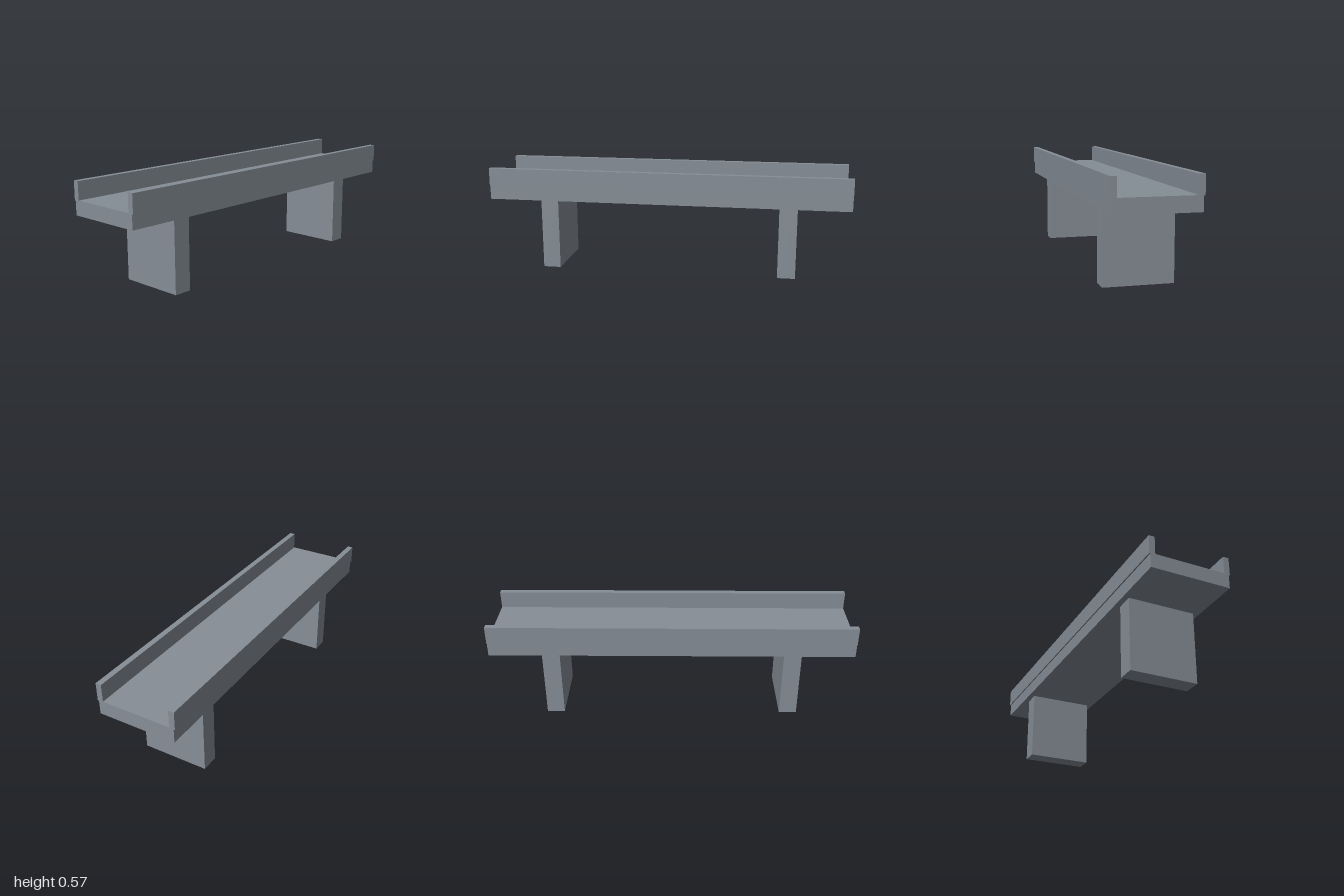
import * as THREE from 'three';

export function createModel() {
  const model = new THREE.Group();
  model.name = 'beamBridge';
  const concrete = new THREE.MeshStandardMaterial({ color: 0x868e96 });
  concrete.name = 'concrete grey';

  // Box given by its size, base height and centre
  const block = (name, w, h, d, x, base, z) => {
    const mesh = new THREE.Mesh(new THREE.BoxGeometry(w, h, d), concrete);
    mesh.name = name;
    mesh.position.set(x, base + h / 2, z);
    model.add(mesh);
  };

  // Deck slab
  block('deck', 2, 0.079, 0.434, 0, 0.397, 0);

  // Parapets overhang the deck edges slightly; piers stand below
  for (const [side, s] of [['Left', 1], ['Right', -1]]) {
    block('pier' + side, 0.098, 0.397, 0.37, s * 0.666, 0, 0);
  }
  for (const [side, s] of [['Front', 1], ['Back', -1]]) {
    block('parapet' + side, 2, 0.1, 0.032, 0, 0.473, s * 0.208);
  }
  return model;
}
